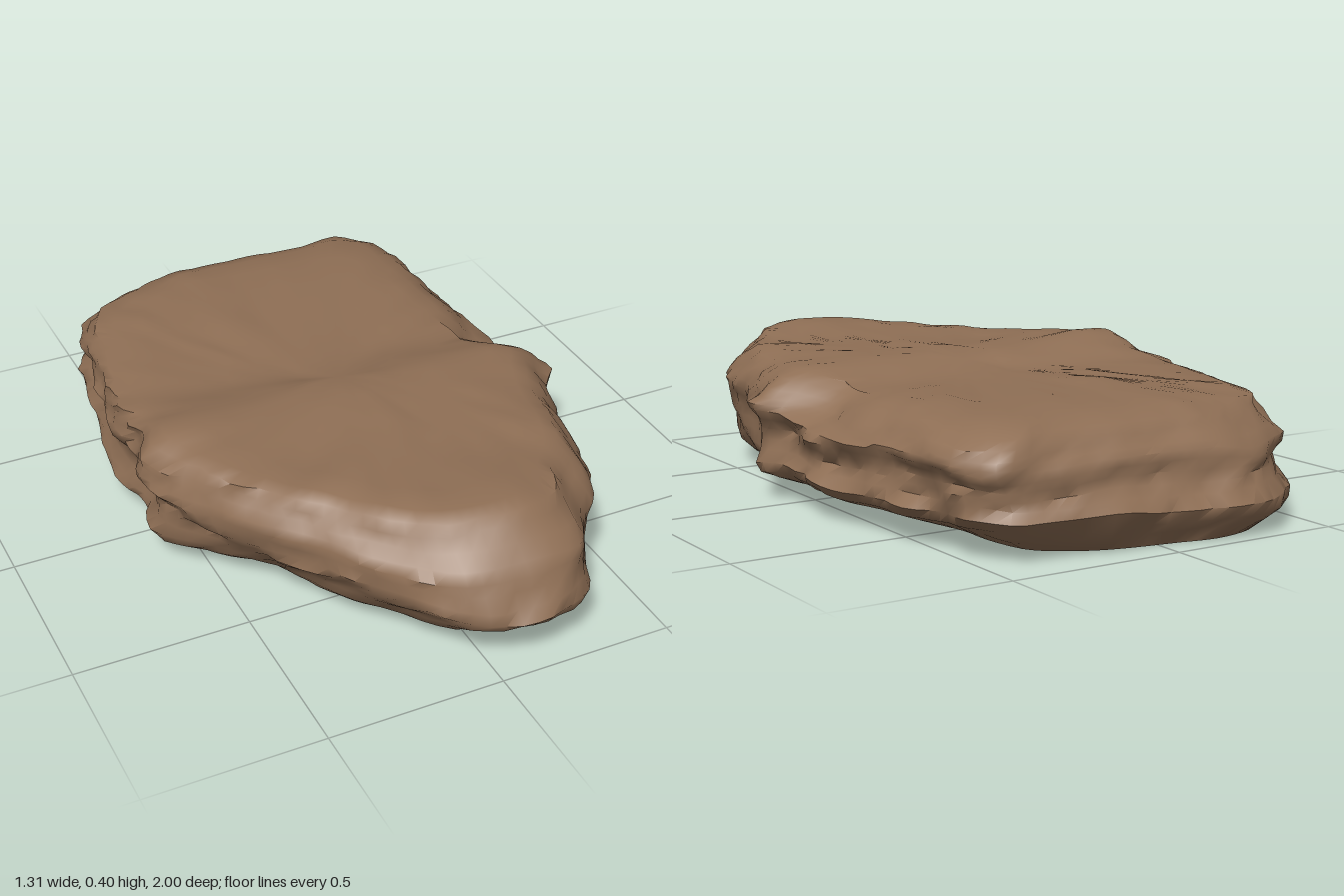
import * as THREE from 'three';
import { toCreasedNormals } from 'three/addons/utils/BufferGeometryUtils.js';

const { smoothstep, lerp } = THREE.MathUtils;

// Smooth value noise in the range -1..1
function hash(x, y, z) {
  const s = Math.sin(x * 127.1 + y * 311.7 + z * 74.7) * 43758.5453;
  return (s - Math.floor(s)) * 2 - 1;
}
function noise(x, y, z) {
  const [i, j, k] = [x, y, z].map(Math.floor);
  const [u, v, w] = [x - i, y - j, z - k].map((t) => t * t * (3 - 2 * t));
  const row = (b, c) => lerp(hash(i, b, c), hash(i + 1, b, c), u);
  return lerp(lerp(row(j, k), row(j + 1, k), v), lerp(row(j, k + 1), row(j + 1, k + 1), v), w);
}

// Soft round bump centred on (cx, cz)
const bump = (x, z, cx, cz, r) => Math.exp(-((x - cx) ** 2 + (z - cz) ** 2) / (r * r));

// Widest plan outline as x, z pairs, from the front tip round by the left side
const OUTLINE = [
  [0.1, 0.99], [0.27, 0.96], [0.36, 0.82], [0.45, 0.7], [0.51, 0.55], [0.54, 0.38], [0.59, 0.22],
  [0.65, 0.1], [0.61, 0], [0.63, -0.2], [0.59, -0.4], [0.57, -0.55], [0.55, -0.7], [0.54, -0.84],
  [0.46, -0.94], [0.3, -0.96], [0.1, -0.97], [-0.05, -0.98], [-0.23, -1], [-0.4, -0.96],
  [-0.5, -0.87], [-0.55, -0.75], [-0.57, -0.6], [-0.6, -0.45], [-0.64, -0.2], [-0.62, 0],
  [-0.66, 0.13], [-0.6, 0.27], [-0.49, 0.45], [-0.36, 0.62], [-0.2, 0.82], [-0.06, 0.95],
];

// Strata from underside to top: height, then left, right, front and back scale
const LAYERS = [
  [0, 0, 0, 0, 0], [0, 0.3, 0.3, 0.3, 0.35], [0, 0.56, 0.58, 0.55, 0.68],
  [0, 0.78, 0.8, 0.77, 0.94], [0.035, 0.91, 0.93, 0.86, 0.965],
  [0.07, 0.96, 0.965, 0.91, 0.985], [0.105, 0.975, 0.97, 0.945, 1],
  [0.14, 0.95, 0.935, 0.985, 0.975], [0.17, 0.935, 0.92, 1, 0.95], [0.2, 0.945, 0.935, 0.985, 0.94],
  [0.23, 0.97, 0.965, 0.96, 0.94], [0.26, 1, 0.995, 0.95, 0.935], [0.285, 0.985, 0.985, 0.93, 0.92],
  [0.31, 0.96, 0.975, 0.885, 0.905], [0.335, 0.93, 0.975, 0.85, 0.89],
  [0.36, 0.88, 0.945, 0.825, 0.865], [0.372, 0.8, 0.87, 0.775, 0.81],
  [0.375, 0.7, 0.72, 0.67, 0.72], [0.375, 0.57, 0.58, 0.55, 0.58],
  [0.375, 0.43, 0.44, 0.42, 0.44], [0.375, 0.3, 0.3, 0.29, 0.3],
  [0.375, 0.15, 0.15, 0.15, 0.15], [0.375, 0, 0, 0, 0],
];

// Top surface: high front half, a step down across the middle, a lower back edge
function topHeight(x, z) {
  return 0.335 + 0.04 * smoothstep(z, -0.15, 0.08) - 0.02 * smoothstep(-z, 0.7, 0.95)
    + 0.01 * bump(x, z, -0.1, -0.6, 0.25)
    + 0.025 * bump(x, z, 0.12, 0.78, 0.16) + 0.02 * bump(x, z, -0.5, 0.05, 0.18)
    - 0.02 * bump(x, z, -0.25, 0.33, 0.1) - 0.02 * smoothstep(x, 0.3, 0.65);
}

// Underside: touches the ground near both ends and lifts along the middle and the tip
function bottomLift(z) {
  return 0.035 * (1 - smoothstep(z, 0.28, 0.52)) * smoothstep(z, -0.95, -0.1)
    + 0.025 * smoothstep(z, 0.55, 0.85);
}

// How far each stratum is cut back at certain places round the rim
function cutBack(h, x, z) {
  const under = 1 - smoothstep(h, 0.08, 0.2);
  const upper = smoothstep(h, 0.22, 0.34);
  const foot = 1 - smoothstep(h, 0, 0.1);
  return under * (0.14 * bump(x, z, -0.45, 0.48, 0.28) + 0.07 * bump(x, z, -0.2, 0.85, 0.18)
    + 0.05 * bump(x, z, 0.52, 0.5, 0.25) + 0.06 * bump(x, z, 0.52, -0.85, 0.22))
    + foot * 0.1 * bump(x, z, 0.56, -0.75, 0.35)
    + upper * (0.2 * bump(x, z, 0.62, -0.17, 0.13) + 0.06 * bump(x, z, -0.4, -0.95, 0.22)
    - 0.04 * bump(x, z, 0.46, -0.93, 0.12));
}

function rockGeometry() {
  const segments = 128;
  const curve = new THREE.CatmullRomCurve3(
    OUTLINE.map(([x, z]) => new THREE.Vector3(x, 0, z)), true, 'centripetal');
  const rim = curve.getSpacedPoints(segments);
  const positions = [];
  const indices = [];
  LAYERS.forEach(([h, left, right, front, back], i) => {
    for (let j = 0; j < segments; j++) {
      const p = rim[j];
      const side = h > 0.02 && left > 0.85 ? 1 : 0;
      // Ledges and sharp chips on the sides
      const chip = side * (0.018 * noise(p.x * 7, h * 24, p.z * 7)
        + 0.022 * noise(p.x * 16 + 5, h * 36, p.z * 16) - 0.004);
      const rimScale = left > 0.75 ? 1 - cutBack(h, p.x, p.z) : 1;
      const x = p.x * (p.x > 0 ? left : right) * rimScale * (1 + chip * 1.2);
      const z = p.z * (p.z > 0 ? front : back) * rimScale * (1 + chip * 0.5);
      const t = smoothstep(h, 0.03, 0.36);
      let y = h * lerp(1, topHeight(x, z) / 0.375, t);
      y += side * 0.014 * noise(p.x * 6 + 9, h * 12, p.z * 6);
      // Shallow unevenness of the top face, on a turned grid
      if (h > 0.33) {
        const u = 0.8 * x + 0.6 * z;
        const v = 0.8 * z - 0.6 * x;
        y += 0.009 * noise(u * 6 + 0.4, 3.5, v * 6 + 0.3) + 0.008 * noise(u * 13, 8.5, v * 13);
      }
      y += bottomLift(z) * (1 - smoothstep(h, 0, 0.1));
      positions.push(x, Math.max(0, y), z);
      if (i < LAYERS.length - 1) {
        const a = i * segments + j;
        const b = i * segments + (j + 1) % segments;
        const c = b + segments;
        const d = a + segments;
        if (i > 0) indices.push(a, b, c);
        if (i < LAYERS.length - 2) indices.push(a, c, d);
      }
    }
  });
  const geometry = new THREE.BufferGeometry();
  geometry.setAttribute('position', new THREE.Float32BufferAttribute(positions, 3));
  geometry.setIndex(indices);
  return toCreasedNormals(geometry, 0.9);
}

export function createModel() {
  const group = new THREE.Group();
  group.name = 'flatRock';
  const stone = new THREE.MeshStandardMaterial({ color: 0x8f6f55 });
  stone.name = 'brownStone';
  const rock = new THREE.Mesh(rockGeometry(), stone);
  rock.name = 'rockSlab';
  group.add(rock);
  return group;
}
